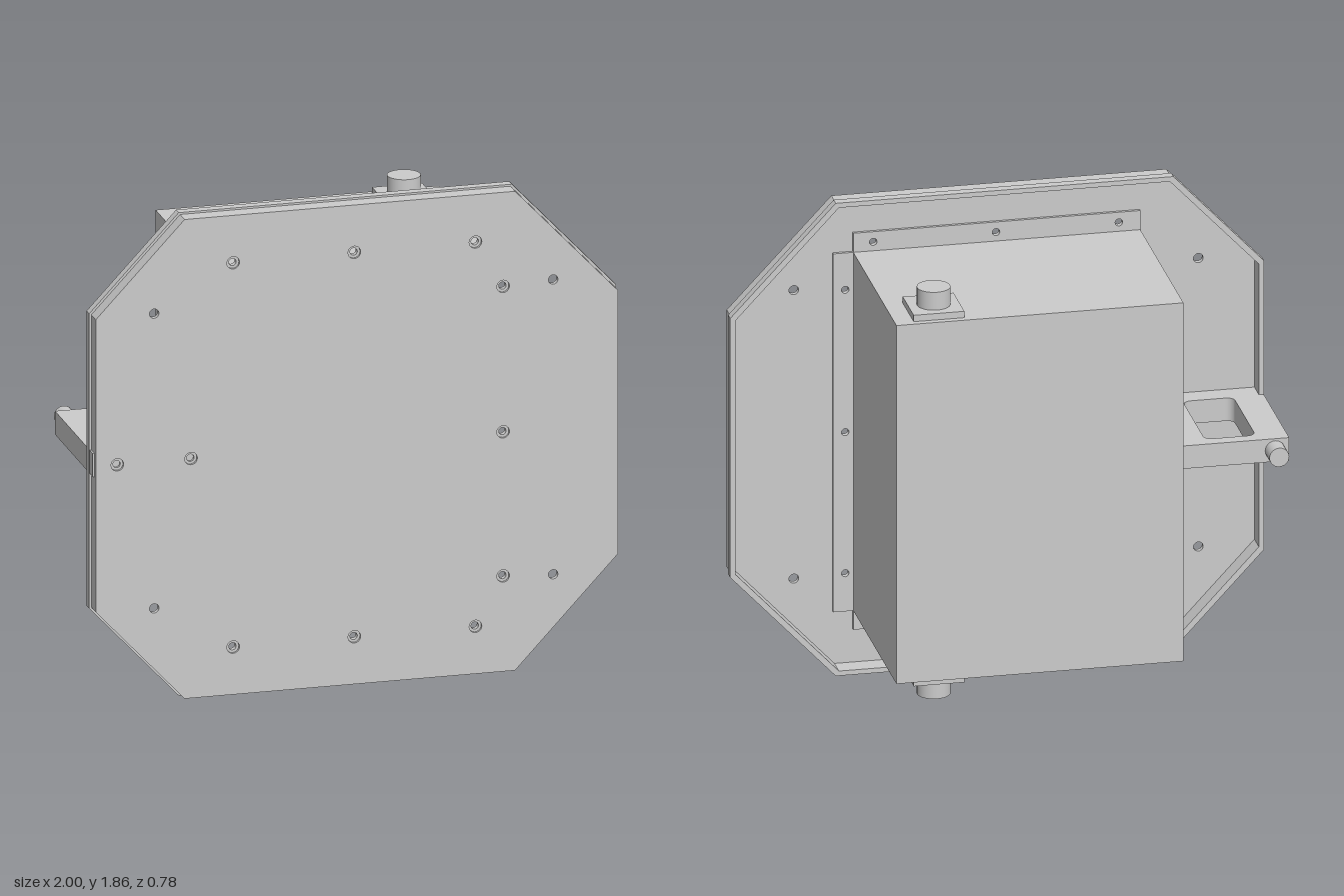
import * as THREE from 'three';

const MID = 0.93;
const OUTLINE = [
  [-0.66, 0], [0.605, 0], [1, 0.42], [1, 1.44],
  [0.605, 1.86], [-0.66, 1.86], [-1, 1.5], [-1, 0.365],
];

// Panel outline, scaled about its middle
const outline = (s) => OUTLINE.map(([x, y]) => new THREE.Vector2(x * s, MID + (y - MID) * s));

const circle = (x, y, r) => new THREE.Path().absarc(x, y, r, 0, Math.PI * 2, true);

export function createModel() {
  const group = new THREE.Group();
  const material = new THREE.MeshStandardMaterial({ color: 0xcccccc });

  function add(name, geometry, x = 0, y = 0, z = 0) {
    const mesh = new THREE.Mesh(geometry, material);
    mesh.name = name;
    mesh.position.set(x, y, z);
    group.add(mesh);
    return mesh;
  }
  // Extrude a shape between two z planes
  function slab(name, shape, z0, z1) {
    const geometry = new THREE.ExtrudeGeometry(shape, {
      depth: z1 - z0, bevelEnabled: false, curveSegments: 10,
    });
    return add(name, geometry, 0, 0, z0);
  }
  // Box given by its minimum and maximum corners
  function block(name, a, b) {
    const size = b.map((v, i) => v - a[i]);
    return add(name, new THREE.BoxGeometry(...size), ...a.map((v, i) => (v + b[i]) / 2));
  }

  // Hole positions: plain mounting holes and stepped screw holes
  const mounting = [-0.77, 0.745].flatMap((x) => [0.365, 1.5].map((y) => [x, y]));
  const rowX = [-0.47, -0.01, 0.45];
  const sideY = [0.375, 0.93, 1.49];
  const screws = [
    ...rowX.flatMap((x) => [[x, 0.19], [x, 1.67]]),
    ...sideY.map((y) => [0.555, y]),
    [-0.91, MID], [-0.63, MID],
  ];

  // Front panel: outer layer with wide screw recesses, inner layer with narrow holes
  [['frontPanelOuter', 0.024, 0.38, 0.39], ['frontPanelInner', 0.014, 0.37, 0.38]]
    .forEach(([name, r, z0, z1]) => {
      const shape = new THREE.Shape(outline(0.992));
      mounting.forEach(([x, y]) => shape.holes.push(circle(x, y, 0.018)));
      screws.forEach(([x, y]) => shape.holes.push(circle(x, y, r)));
      slab(name, shape, z0, z1);
    });

  // Thin wall round the panel and the slightly wider lip at its back
  [['panelWall', 0.992, 0.328, 0.37], ['panelLip', 1, 0.292, 0.328]]
    .forEach(([name, s, z0, z1]) => {
      const shape = new THREE.Shape(outline(s));
      shape.holes.push(new THREE.Path(outline(0.98).reverse()));
      slab(name, shape, z0, z1);
    });

  // Housing
  block('housing', [-0.55, 0.225, -0.39], [0.525, 1.635, 0.37]);

  // Drilled mounting flanges of the housing
  function flange(x0, y0, x1, y1, holes) {
    const shape = new THREE.Shape([[x0, y0], [x1, y0], [x1, y1], [x0, y1]]
      .map(([x, y]) => new THREE.Vector2(x, y)));
    holes.forEach(([x, y]) => shape.holes.push(circle(x, y, 0.014)));
    slab('housingFlange', shape, 0.358, 0.37);
  }
  flange(-0.55, 1.635, 0.525, 1.71, rowX.map((x) => [x, 1.67]));
  flange(-0.55, 0.15, 0.525, 0.225, rowX.map((x) => [x, 0.19]));
  flange(0.525, 0.225, 0.6, 1.635, sideY.map((y) => [0.555, y]));

  // Square pads with round studs, above and below the housing
  [[1.635, 1], [0.225, -1]].forEach(([y, dir]) => {
    add('studPad', new THREE.BoxGeometry(0.19, 0.025, 0.19), 0.36, y + dir * 0.0125, -0.27);
    add('stud', new THREE.CylinderGeometry(0.062, 0.062, 0.07, 32), 0.36, y + dir * 0.06, -0.27);
  });

  // Side bracket with a rounded slot; shape y is the negative z axis
  const bracket = new THREE.Shape();
  bracket.moveTo(-0.998, -0.37).lineTo(-0.55, -0.37).lineTo(-0.55, 0.15).lineTo(-0.998, 0.15).closePath();
  const [x0, x1, y0, y1, r] = [-0.883, -0.693, -0.285, 0.1, 0.03];
  const slot = new THREE.Path();
  slot.absarc(x0 + r, y0 + r, r, Math.PI * 1.5, Math.PI, true);
  slot.absarc(x0 + r, y1 - r, r, Math.PI, Math.PI / 2, true);
  slot.absarc(x1 - r, y1 - r, r, Math.PI / 2, 0, true);
  slot.absarc(x1 - r, y0 + r, r, 0, -Math.PI / 2, true);
  bracket.holes.push(slot);
  const bracketGeometry = new THREE.ExtrudeGeometry(bracket, {
    depth: 0.09, bevelEnabled: false, curveSegments: 8,
  });
  bracketGeometry.rotateX(-Math.PI / 2);
  add('sideBracket', bracketGeometry, 0, MID - 0.045, 0);

  // Pin at the back of the bracket
  const pin = new THREE.CylinderGeometry(0.037, 0.037, 0.075, 24).rotateX(Math.PI / 2);
  add('bracketPin', pin, -0.945, MID, -0.1875);

  return group;
}
